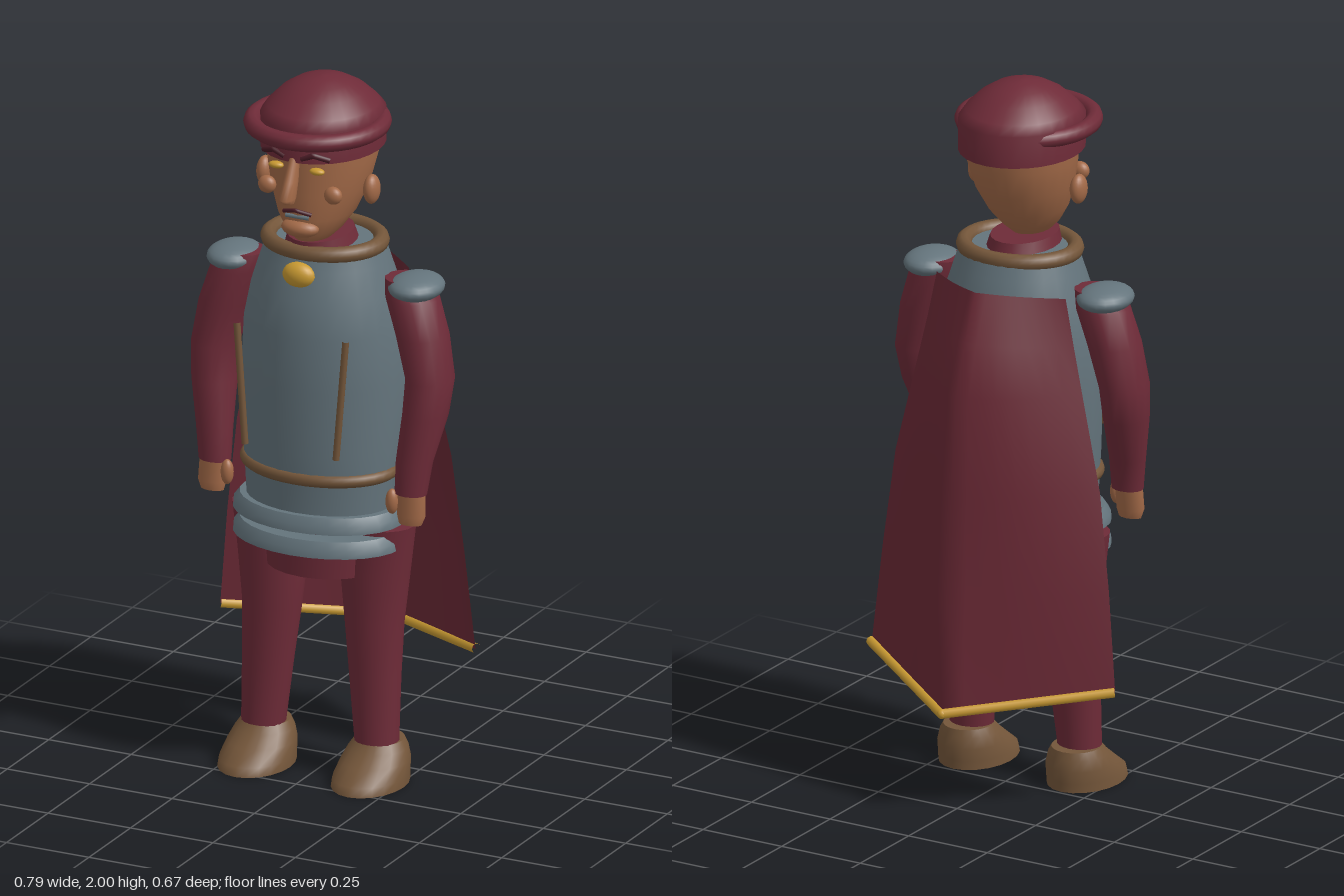
import * as THREE from 'three';

const mat = (name, color, side = THREE.FrontSide) => {
  const m = new THREE.MeshStandardMaterial({ color, side });
  m.name = name;
  return m;
};

// Smooth closed body through elliptical rings [y, cx, cz, rx, rz], listed bottom to top
function loft(rings, sides = 20) {
  const pos = [], idx = [];
  const point = ([y, cx, cz, rx, rz], j) => {
    const a = (j / sides) * Math.PI * 2;
    pos.push(cx + rx * Math.cos(a), y, cz + rz * Math.sin(a));
  };
  rings.forEach(r => { for (let j = 0; j < sides; j++) point(r, j); });
  for (let i = 0; i < rings.length - 1; i++) {
    for (let j = 0; j < sides; j++) {
      const k = (j + 1) % sides, a = i * sides + j, b = i * sides + k;
      idx.push(a, a + sides, b, b, a + sides, b + sides);
    }
  }
  // separate cap vertices keep the rims crisp
  [rings[0], rings[rings.length - 1]].forEach((r, top) => {
    const c = pos.length / 3;
    pos.push(r[1], r[0], r[2]);
    for (let j = 0; j < sides; j++) point(r, j);
    for (let j = 0; j < sides; j++) {
      const p = c + 1 + j, q = c + 1 + (j + 1) % sides;
      idx.push(c, top ? q : p, top ? p : q);
    }
  });
  const g = new THREE.BufferGeometry();
  g.setAttribute('position', new THREE.Float32BufferAttribute(pos, 3));
  g.setIndex(idx);
  g.computeVertexNormals();
  return g;
}

const ball = (x, y, z, rx, ry, rz) =>
  new THREE.SphereGeometry(1, 20, 14).scale(rx, ry, rz).translate(x, y, z);

// Horizontal elliptical ring with a round or flattened tube
const ring = (y, cz, rx, rz, tube, flat = 1) =>
  new THREE.TorusGeometry(1, tube / rx, 10, 40).rotateX(Math.PI / 2)
    .scale(rx, rx * flat, rz).translate(0, y, cz);

// Straight or bent rod through points
function rod(points, r) {
  const path = new THREE.CurvePath();
  const v = points.map(p => new THREE.Vector3(...p));
  for (let i = 1; i < v.length; i++) path.add(new THREE.LineCurve3(v[i - 1], v[i]));
  return new THREE.TubeGeometry(path, 12, r, 8);
}

// Cape sheet: each row is [centre y, centre z, side x, side y, side z, bulge]
function capeSheet(rows, cols = 16) {
  const g = new THREE.PlaneGeometry(1, 1, cols, rows.length - 1), p = g.attributes.position;
  rows.forEach(([cy, cz, sx, sy, sz, bulge], i) => {
    for (let j = 0; j <= cols; j++) {
      const t = (j / cols) * 2 - 1, a = Math.abs(t);
      const out = bulge * Math.sin(a * Math.PI);
      p.setXYZ(i * (cols + 1) + j, sx * t, cy + (sy - cy) * a, cz + (sz - cz) * a - out);
    }
  });
  g.computeVertexNormals();
  return g;
}

export function createModel() {
  const model = new THREE.Group();
  model.name = 'caped guard';
  const cloth = mat('maroon cloth', 0x6e2b38);
  const capeCloth = mat('maroon cape cloth', 0x6a2935, THREE.DoubleSide);
  const steel = mat('steel', 0x64747c);
  const leather = mat('brown leather', 0x74563a);
  const skin = mat('skin', 0xa36a48);
  const gold = mat('gold', 0xc99a32);
  const dark = mat('dark brow', 0x4a1c26);

  const add = (name, geometry, material) => {
    const m = new THREE.Mesh(geometry, material);
    m.name = name;
    model.add(m);
    return m;
  };

  // Hat
  add('hatCrown', loft([
    [1.81, 0, 0.085, 0.167, 0.19], [1.9, 0, 0.085, 0.167, 0.19], [1.925, 0, 0.085, 0.15, 0.165],
    [1.96, 0, 0.085, 0.115, 0.125], [1.985, 0, 0.085, 0.075, 0.08], [1.997, 0, 0.085, 0.035, 0.04],
    [2, 0, 0.085, 0.005, 0.005]], 28), cloth);
  add('hatBrim', ring(1.88, 0.12, 0.177, 0.18, 0.024), cloth);

  // Head and face
  add('head', loft([
    [1.56, 0, 0.14, 0.05, 0.07], [1.585, 0, 0.135, 0.075, 0.095], [1.63, 0, 0.12, 0.105, 0.122],
    [1.7, 0, 0.1, 0.133, 0.144], [1.78, 0, 0.087, 0.15, 0.16], [1.85, 0, 0.085, 0.152, 0.163]], 24), skin);
  add('chin', ball(0, 1.605, 0.225, 0.055, 0.026, 0.035), skin);
  add('nose', loft([
    [1.7, 0, 0.295, 0.016, 0.018], [1.715, 0, 0.3, 0.021, 0.032], [1.76, 0, 0.28, 0.018, 0.03],
    [1.84, 0, 0.252, 0.012, 0.014]], 12), skin);
  add('moustache', rod([[-0.042, 1.652, 0.24], [0, 1.664, 0.255], [0.042, 1.652, 0.24]], 0.006), dark);
  add('mouth', rod([[-0.036, 1.641, 0.24], [0.036, 1.641, 0.24]], 0.006), steel);

  // Neck and collar
  add('neck', loft([[1.48, 0, 0.09, 0.11, 0.13], [1.56, 0, 0.1, 0.085, 0.115]]), cloth);
  add('collar', ring(1.527, 0.075, 0.157, 0.138, 0.023), leather);

  // Breastplate, belt and skirt plates
  add('breastplate', loft([
    [0.78, 0, 0.105, 0.21, 0.152], [0.88, 0, 0.1, 0.217, 0.162], [0.96, 0, 0.085, 0.226, 0.185],
    [1.15, 0, 0.07, 0.235, 0.206], [1.3, 0, 0.07, 0.226, 0.206], [1.4, 0, 0.07, 0.205, 0.192],
    [1.48, 0, 0.07, 0.18, 0.165], [1.53, 0, 0.072, 0.165, 0.148]], 28), steel);
  add('belt', ring(0.89, 0.102, 0.212, 0.158, 0.018), leather);
  for (const y of [0.767, 0.698]) {
    add('skirtPlate', loft([
      [y - 0.022, 0, 0.11, 0.247, 0.178], [y, 0, 0.11, 0.245, 0.176], [y + 0.022, 0, 0.11, 0.228, 0.163]], 28), steel);
  }
  add('tunicFlap', loft([[0.59, 0, 0.1, 0.155, 0.12], [0.8, 0, 0.1, 0.17, 0.13]]), cloth);
  add('medallion', ball(0, 1.47, 0.232, 0.048, 0.036, 0.03), gold);

  // Paired parts, left side at +x
  for (const [side, s] of [['left', 1], ['right', -1]]) {
    add(side + 'Eye', ball(s * 0.062, 1.784, 0.246, 0.022, 0.01, 0.014), gold);
    add(side + 'Brow', rod([[s * 0.025, 1.822, 0.268], [s * 0.06, 1.836, 0.265], [s * 0.1, 1.822, 0.245]], 0.008), dark);
    add(side + 'Cheek', ball(s * 0.1, 1.714, 0.225, 0.026, 0.025, 0.02), skin);
    add(side + 'Ear', ball(s * 0.162, 1.707, 0.115, 0.022, 0.042, 0.031), skin);
    add(side + 'ChestStrap', rod([[s * 0.165, 1.32, 0.278], [s * 0.138, 0.975, 0.283]], 0.01), leather);
    add(side + 'Pauldron', ball(s * 0.275, 1.43, 0.07, 0.075, 0.036, 0.09), steel);
    add(side + 'Sleeve', loft([
      [0.86, s * 0.297, 0.148, 0.046, 0.037], [0.95, s * 0.303, 0.138, 0.052, 0.045],
      [1.08, s * 0.32, 0.105, 0.062, 0.07], [1.18, s * 0.325, 0.087, 0.065, 0.08],
      [1.3, s * 0.298, 0.08, 0.073, 0.08], [1.4, s * 0.265, 0.074, 0.075, 0.076],
      [1.45, s * 0.24, 0.07, 0.055, 0.055]], 16), cloth);
    add(side + 'Hand', loft([
      [0.775, s * 0.3, 0.157, 0.034, 0.021], [0.8, s * 0.302, 0.155, 0.042, 0.027],
      [0.87, s * 0.3, 0.15, 0.04, 0.03]], 12), skin);
    add(side + 'Thumb', ball(s * 0.25, 0.835, 0.168, 0.018, 0.036, 0.018), skin);
    add(side + 'Leg', loft([
      [0.1, s * 0.172, 0.105, 0.062, 0.056], [0.3, s * 0.162, 0.095, 0.074, 0.062],
      [0.45, s * 0.155, 0.085, 0.084, 0.074], [0.6, s * 0.155, 0.08, 0.1, 0.083],
      [0.735, s * 0.168, 0.08, 0.103, 0.087]]), cloth);
    add(side + 'Boot', loft([
      [0, s * 0.172, 0.143, 0.1, 0.135], [0.025, s * 0.172, 0.138, 0.099, 0.132],
      [0.06, s * 0.172, 0.112, 0.093, 0.108], [0.09, s * 0.172, 0.095, 0.082, 0.085],
      [0.112, s * 0.172, 0.088, 0.068, 0.072]]), leather);
  }

  // Cape with a gilded hem
  add('cape', capeSheet([
    [1.46, -0.155, 0.205, 1.44, -0.022, 0.01], [1.33, -0.21, 0.232, 1.31, -0.025, 0.03],
    [1.19, -0.255, 0.262, 1.18, -0.03, 0.045], [0.9, -0.28, 0.325, 0.91, -0.04, 0.04],
    [0.6, -0.305, 0.36, 0.63, -0.05, 0.02], [0.3, -0.327, 0.387, 0.352, -0.062, 0]]), capeCloth);
  for (const s of [1, -1]) {
    add('capeHem', rod([[s * 0.388, 0.352, -0.066], [0, 0.298, -0.328]], 0.014), gold);
  }
  add('capeHemPoint', ball(0, 0.298, -0.328, 0.014, 0.014, 0.014), gold);

  return model;
}
